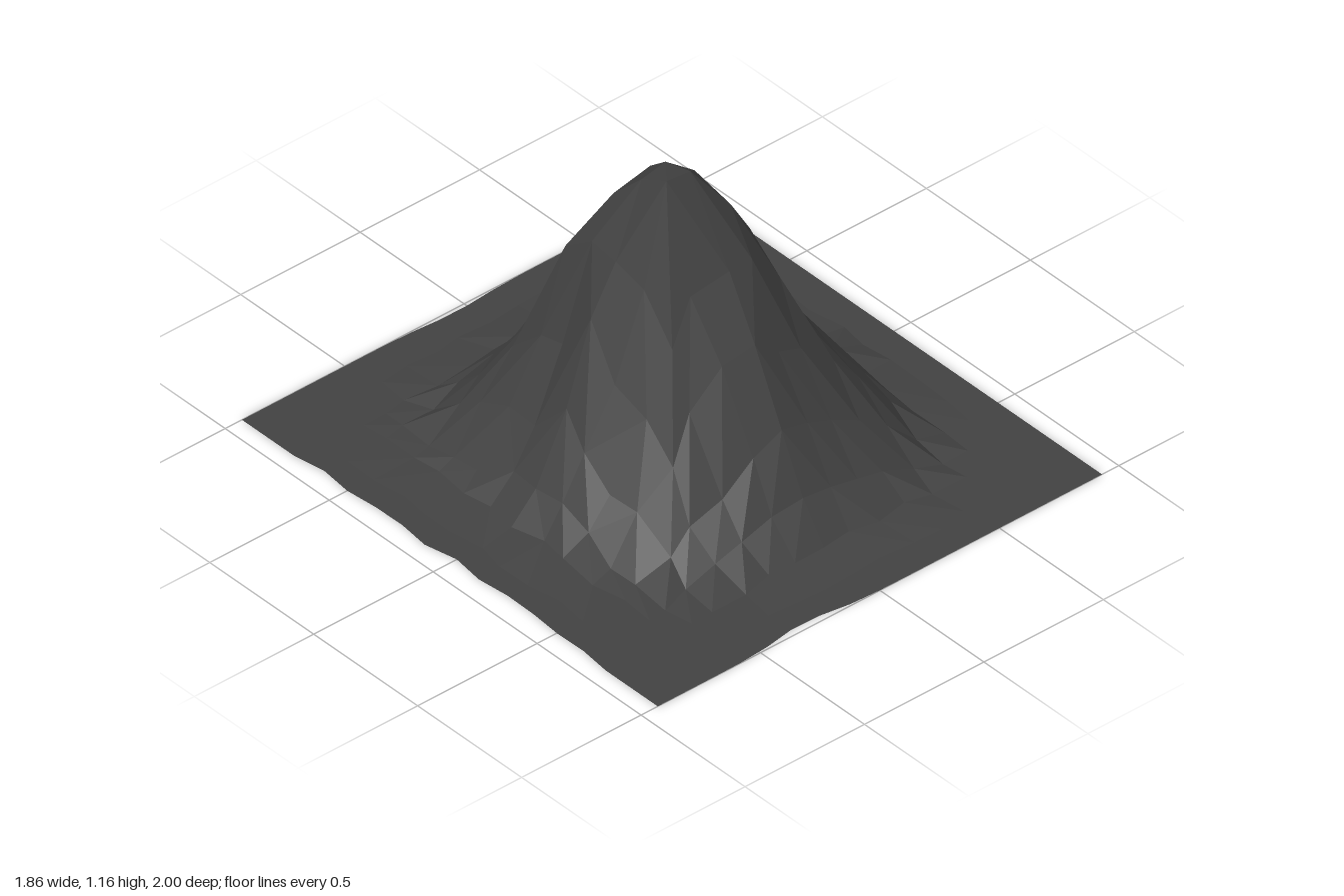
import * as THREE from 'three';

// Contour levels: height, xMin, xMax, zMin, zMax
const LEVELS = [
  [0.0, -0.78, 0.76, -0.83, 0.81],
  [0.02, -0.655, 0.695, -0.73, 0.73],
  [0.18, -0.55, 0.605, -0.605, 0.595],
  [0.42, -0.435, 0.43, -0.45, 0.48],
  [0.7, -0.33, 0.28, -0.33, 0.345],
  [0.88, -0.235, 0.215, -0.22, 0.24],
  [1.03, -0.165, 0.11, -0.13, 0.165],
  [1.17, -0.12, 0.0, -0.02, 0.1],
];
const N = 16;

// Small seeded generator
function seeded(seed) {
  return () => {
    seed = (seed * 16807) % 2147483647;
    return seed / 2147483647;
  };
}

function levelAt(h) {
  let i = 0;
  while (i < LEVELS.length - 2 && h > LEVELS[i + 1][0]) i++;
  const a = LEVELS[i], b = LEVELS[i + 1];
  const t = (h - a[0]) / (b[0] - a[0]);
  return a.map((v, k) => v + (b[k] - v) * t);
}

// Is the point within the rounded, gullied contour of height h?
function inside(h, x, z) {
  const [, x0, x1, z0, z1] = levelAt(h);
  const u = (x - (x0 + x1) / 2) / ((x1 - x0) / 2);
  const v = (z - (z0 + z1) / 2) / ((z1 - z0) / 2);
  const swell = Math.sin(Math.PI * Math.min(1, h / 1.17));
  const frontCorner = u < 0 && v > 0;
  // Squarish foot, round flanks
  const n = (frontCorner ? 2.5 : 2.9) - 0.7 * Math.min(1, h / 0.45);
  let edge = 1 - 0.06 * swell * (0.5 - 0.5 * Math.cos(8 * Math.atan2(v, u)));
  // Gully down the -x flank
  if (u < 0) edge -= 0.08 * swell * Math.exp(-(((v + 0.25) / 0.2) ** 2));
  // Three high shoulders on the diagonals
  if (!frontCorner) {
    const diagonal = ((2 * u * v) / (u * u + v * v + 1e-6)) ** 2;
    edge += (u > 0 && v < 0 ? 0.2 : 0.14) * diagonal * Math.exp(-(((h - 0.84) / 0.2) ** 2));
  }
  return Math.abs(u) ** n + Math.abs(v) ** n < edge ** n;
}

function heightAt(x, z) {
  if (!inside(0, x, z)) return 0;
  let lo = 0, hi = 1.16;
  for (let i = 0; i < 24; i++) {
    const mid = (lo + hi) / 2;
    if (inside(mid, x, z)) lo = mid;
    else hi = mid;
  }
  return lo;
}

export function createModel() {
  const group = new THREE.Group();
  group.name = 'mountain';
  const rand = seeded(4217);

  // One sheet: flat ground rising into a faceted peak
  const geo = new THREE.PlaneGeometry(1.86, 2, N, N).rotateX(-Math.PI / 2);
  const pos = geo.attributes.position;
  for (let i = 0; i < pos.count; i++) {
    let x = pos.getX(i), z = pos.getZ(i);
    const col = i % (N + 1), row = Math.floor(i / (N + 1));
    const jx = rand() - 0.5, jz = rand() - 0.5;
    const summit = (col === 7 || col === 8) && (row === 8 || row === 9);

    if (summit) {
      x = col === 7 ? -0.11 : -0.01;
      z = row === 8 ? -0.02 : 0.1;
    } else if (col > 0 && col < N && row > 0 && row < N) {
      // Grid lines pulled onto the foot of the slope, then roughened
      if (col === 2) x += 0.04;
      if (row === 2) z += 0.02;
      if (row === 14) z -= 0.02;
      x += jx * 0.036;
      z += jz * 0.036;
    } else if (col === 0 && row > 2 && row < 14) {
      x += 0.06 * Math.abs(jx); // ragged side edge
    } else if (row === N) {
      z -= 0.03 * Math.exp(-(((x + 0.3) / 0.15) ** 2)); // dip in front edge
    } else if (row === 0) {
      z += 0.015 * Math.exp(-(((x + 0.05) / 0.15) ** 2));
    }

    let y = heightAt(x, z);
    if (summit) y = row === 9 ? (col === 7 ? 1.16 : 1.15) : (col === 7 ? 1.1 : 1.12);
    pos.setXYZ(i, x, y, z);
  }

  // Split every quad along its higher diagonal, so ridges stay clean
  const index = [];
  const y = (k) => pos.getY(k);
  for (let r = 0; r < N; r++) {
    for (let c = 0; c < N; c++) {
      const a = r * (N + 1) + c, b = a + N + 1;
      if (y(a) + y(b + 1) > y(b) + y(a + 1)) index.push(a, b, b + 1, a, b + 1, a + 1);
      else index.push(a, b, a + 1, b, b + 1, a + 1);
    }
  }
  geo.setIndex(index);

  const faceted = geo.toNonIndexed();
  faceted.computeVertexNormals();
  const mesh = new THREE.Mesh(faceted, new THREE.MeshStandardMaterial({
    color: 0x424242, flatShading: true, side: THREE.DoubleSide,
  }));
  mesh.name = 'mountainTerrain';
  group.add(mesh);
  return group;
}
